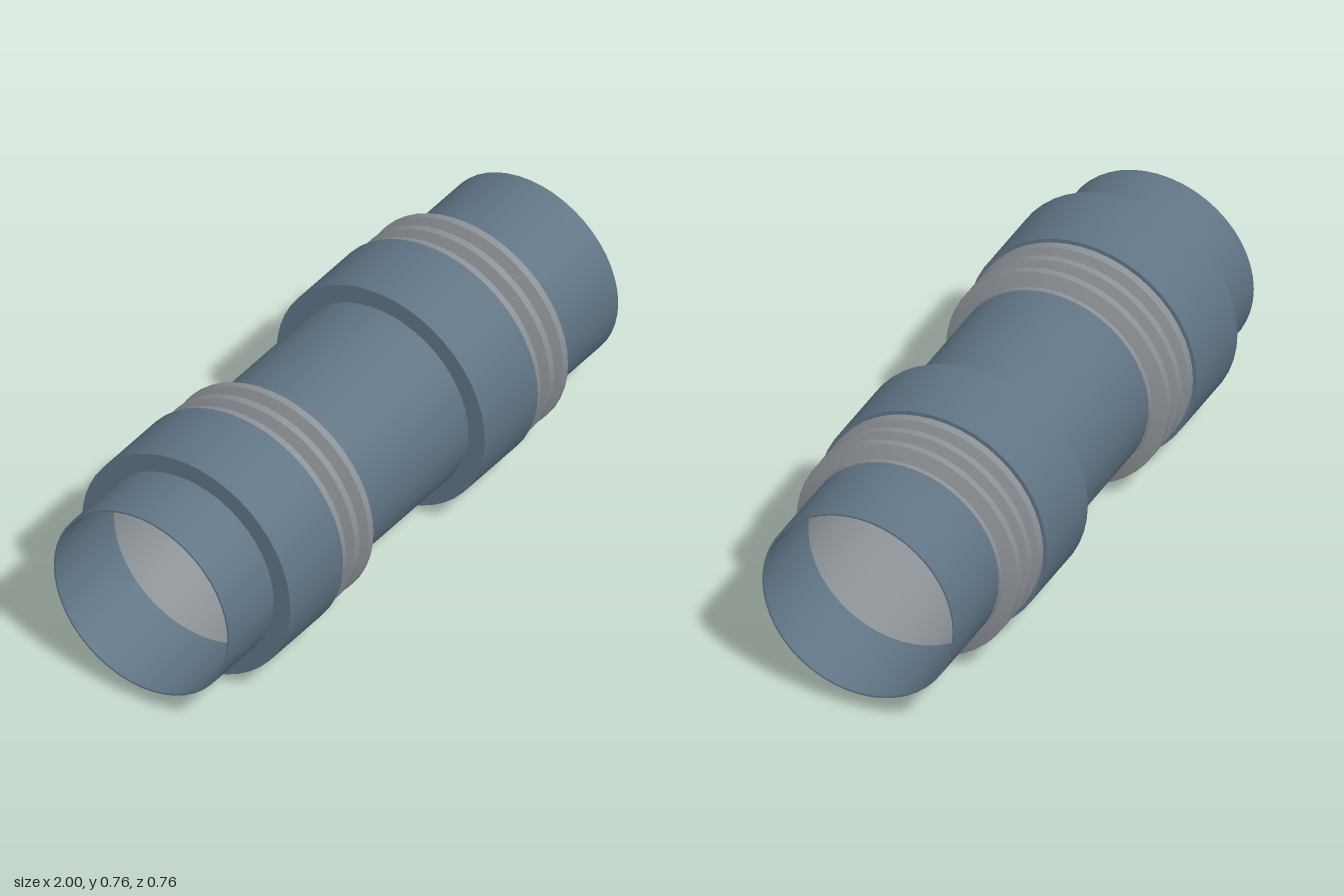
import * as THREE from 'three';
import { toCreasedNormals } from 'three/addons/utils/BufferGeometryUtils.js';

const R_OUT = 0.318, R_IN = 0.312, R_COLLAR = 0.378, R_RIB = 0.367, R_SEAL = 0.322;
const AXIS_Y = 0.378;
const SEGMENTS = 48;

const pipeMaterial = new THREE.MeshStandardMaterial({ color: 0x5f7485 });
const sealMaterial = new THREE.MeshStandardMaterial({ color: 0x8c9196 });

// Turns a closed [x, radius] profile around the x axis (outside runs towards +x)
function turned(name, profile, material) {
  const points = [...profile, profile[0]].map(([x, r]) => new THREE.Vector2(r, x));
  const geometry = new THREE.LatheGeometry(points, SEGMENTS).rotateZ(-Math.PI / 2);
  const mesh = new THREE.Mesh(toCreasedNormals(geometry, Math.PI / 8), material);
  mesh.name = name;
  return mesh;
}

// Plain hollow cylinder
function tube(name, x0, x1, inner, outer) {
  return turned(name, [[x0, inner], [x0, outer], [x1, outer], [x1, inner]], pipeMaterial);
}

// Ribbed sealing sleeve, starting inside the collar
function ribbedSeal() {
  const profile = [[-0.70, R_IN], [-0.70, 0.317], [-0.502, 0.317], [-0.495, R_SEAL]];
  for (let i = 0; i < 3; i++) {
    const c = -0.479 + i * 0.07;
    if (i === 0) profile.push([-0.495, R_RIB]);
    else profile.push([c - 0.027, R_SEAL], [c - 0.012, R_RIB]);
    profile.push([c + 0.012, R_RIB], [c + 0.027, R_SEAL]);
  }
  profile.push([-0.296, R_SEAL], [-0.296, R_IN]);
  return turned('ribbedSeal', profile, sealMaterial);
}

export function createModel() {
  const model = new THREE.Group();
  model.name = 'pipeAssembly';

  // Pipe lengths between the seals
  model.add(
    tube('leftoverPipe', -1, -0.70, R_IN, R_OUT),
    tube('middlePipe', -0.296, 0.30, R_IN, R_OUT),
    tube('endPipe', 0.704, 1, R_IN, R_OUT)
  );
  model.children[0].name = 'startPipe';

  // Two identical joints: wide collar and ribbed seal
  for (const offset of [0, 1]) {
    const joint = new THREE.Group();
    joint.name = 'joint';
    joint.add(tube('collar', -0.77, -0.498, R_OUT, R_COLLAR), ribbedSeal());
    joint.position.x = offset;
    model.add(joint);
  }

  for (const part of model.children) part.position.y = AXIS_Y;
  return model;
}
